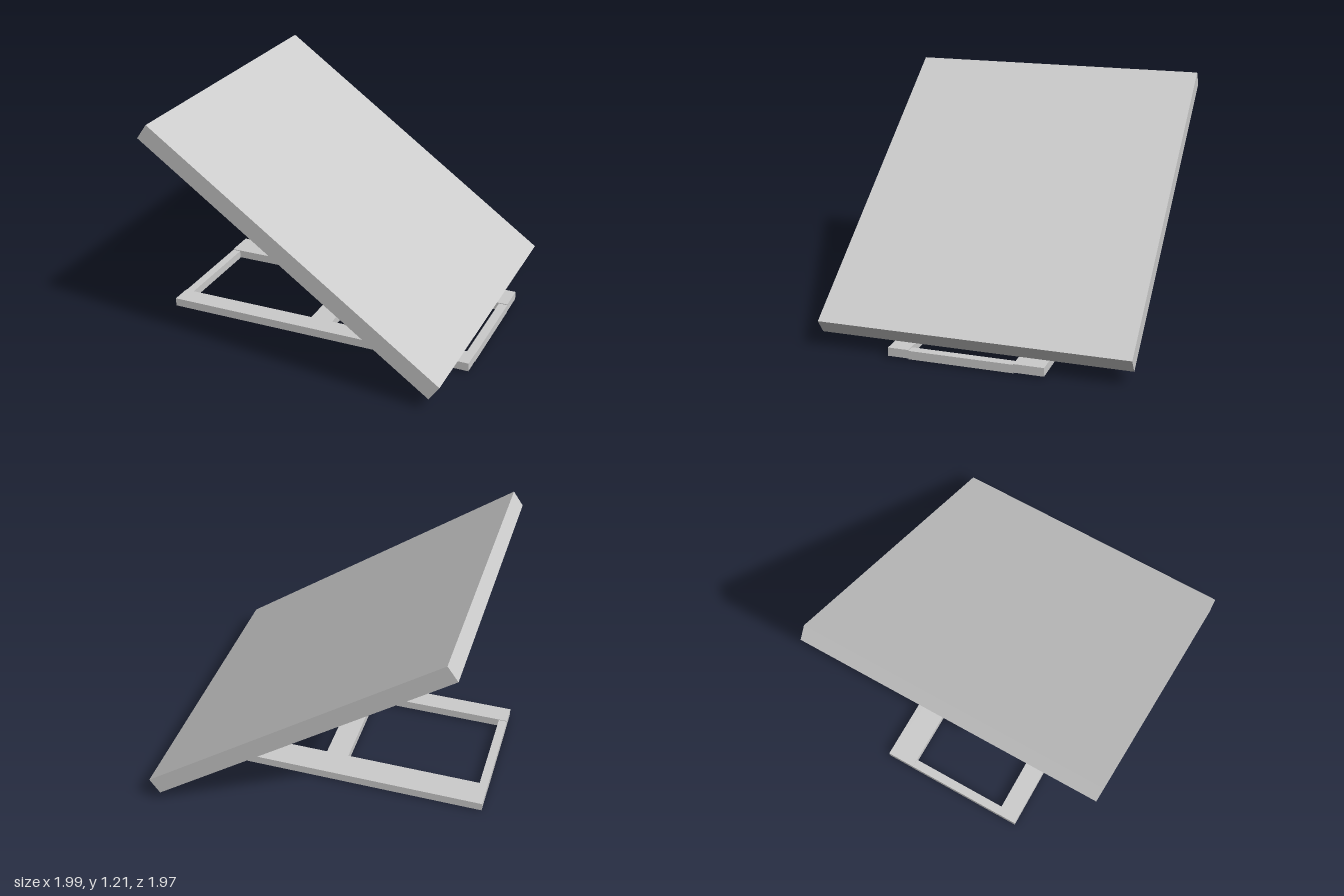
import * as THREE from 'three';

export function createModel() {
  const model = new THREE.Group();
  const material = new THREE.MeshStandardMaterial({ color: 0xcccccc, flatShading: true });

  // Adds a box given its extents along each axis
  function addBox(parent, name, [x0, x1], [y0, y1], [z0, z1]) {
    const mesh = new THREE.Mesh(new THREE.BoxGeometry(x1 - x0, y1 - y0, z1 - z0), material);
    mesh.position.set((x0 + x1) / 2, (y0 + y1) / 2, (z0 + z1) / 2);
    mesh.name = name;
    parent.add(mesh);
  }

  // Whole assembly is turned about the vertical axis
  const assembly = new THREE.Group();
  assembly.name = 'turnedAssembly';
  assembly.rotation.y = 0.313;
  model.add(assembly);

  // Tilted slab, its top face through the group's origin
  const panel = new THREE.Group();
  panel.name = 'panel';
  panel.position.set(0, 0.675, 0.022);
  panel.rotation.x = 0.618;
  addBox(panel, 'panelSlab', [-0.796, 0.796], [-0.092, 0], [-0.923, 0.923]);
  assembly.add(panel);

  // Flat base frame, very slightly higher at the front
  const base = new THREE.Group();
  base.name = 'baseFrame';
  base.position.y = 0.008;
  base.rotation.x = -0.005;
  assembly.add(base);

  const thickness = [0, 0.044];
  addBox(base, 'rightRail', [-0.414, -0.307], thickness, [-0.88, 0.79]);
  addBox(base, 'leftRail', [0.228, 0.38], thickness, [-0.88, 0.79]);

  // Crossbars sit a touch lower than the rails
  const bars = { backBar: [-0.88, -0.835], middleBar: [-0.12, 0], frontBar: [0.743, 0.79] };
  for (const [name, depth] of Object.entries(bars)) {
    addBox(base, name, [-0.307, 0.228], [-0.004, 0.04], depth);
  }
  return model;
}
